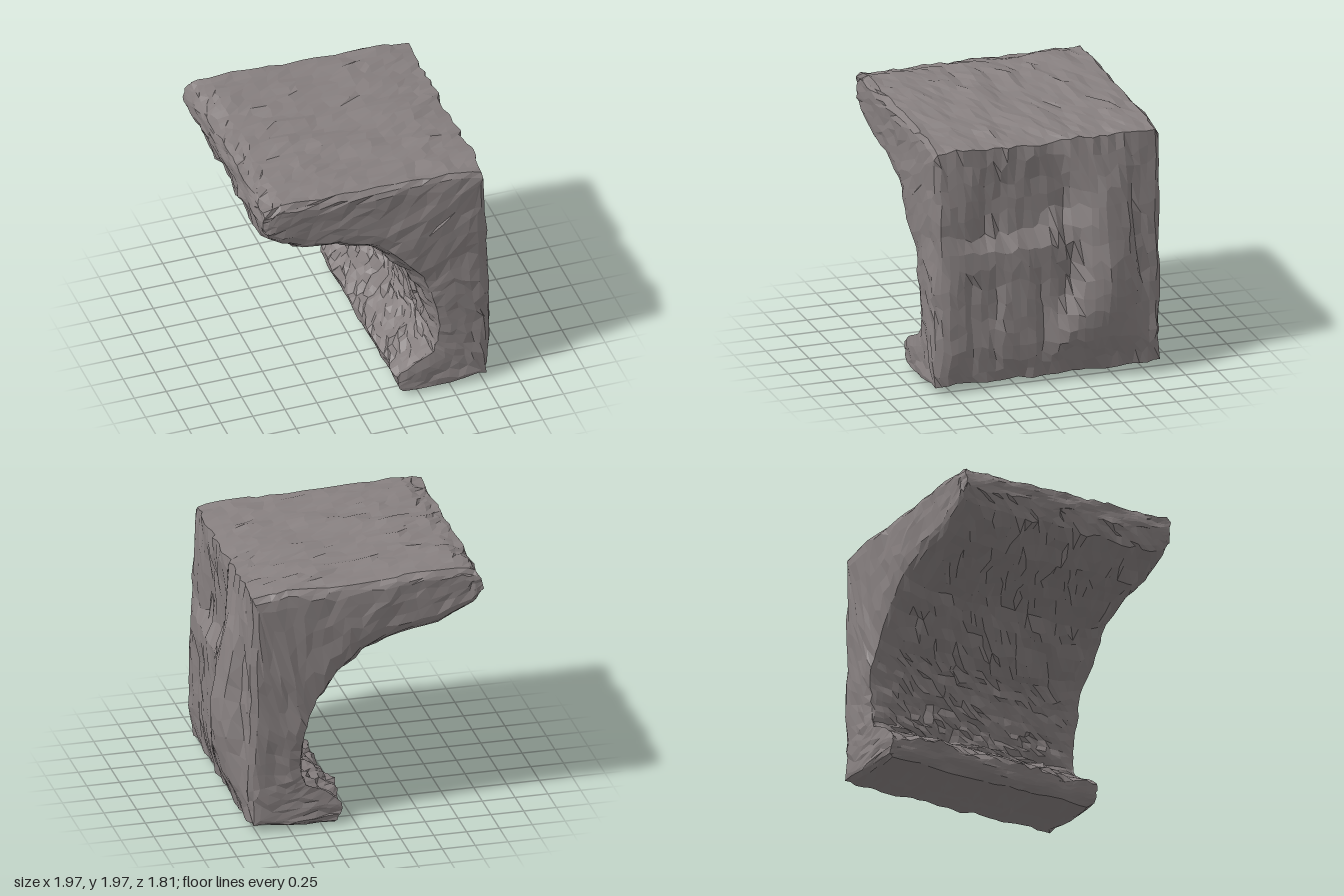
import * as THREE from 'three';

// Repeatable hash and smooth 3D value noise, both in -1..1
function hash(x, y, z) {
  let h = Math.imul(x, 374761393) ^ Math.imul(y, 668265263) ^ Math.imul(z, 873209373);
  h = Math.imul(h ^ (h >>> 13), 1274126177);
  h = Math.imul(h ^ (h >>> 15), 2246822519);
  return ((h ^ (h >>> 16)) >>> 0) / 2147483648 - 1;
}
function noise(x, y, z) {
  const a = [x, y, z].map(Math.floor), f = [x - a[0], y - a[1], z - a[2]];
  let sum = 0;
  for (let c = 0; c < 8; c++) {
    const d = [c & 1, (c >> 1) & 1, c >> 2];
    const w = d.reduce((p, v, n) => p * (v ? f[n] : 1 - f[n]), 1);
    sum += w * hash(a[0] + d[0], a[1] + d[1], a[2] + d[2]);
  }
  return sum;
}

// Linear lookup in [key, value] pairs with ascending keys
function lookup(table, k) {
  if (k <= table[0][0]) return table[0][1];
  for (let n = 1; n < table.length; n++) {
    const [k0, v0] = table[n - 1], [k1, v1] = table[n];
    if (k <= k1) return v0 + (v1 - v0) * (k - k0) / (k1 - k0);
  }
  return table[table.length - 1][1];
}
const step = (a, b, v) => THREE.MathUtils.smoothstep(v, a, b);
const band = (a, b, soft, v) => step(a - soft, a + soft, v) * (1 - step(b - soft, b + soft, v));

// Stations from overhang tip to foot tip: inner x, y, outer x, y
const STATIONS = [
  [-0.965, 1.78, -0.94, 1.93], [-0.91, 1.69, -0.8, 1.965], [-0.64, 1.57, -0.5, 1.965],
  [-0.35, 1.52, -0.2, 1.945], [-0.05, 1.42, 0.2, 1.935], [0.13, 1.24, 0.5, 1.925],
  [0.29, 1.03, 0.765, 1.895], [0.35, 0.88, 0.785, 1.5], [0.4, 0.72, 0.79, 1.1],
  [0.42, 0.56, 0.805, 0.7], [0.41, 0.42, 0.81, 0.35], [0.37, 0.34, 0.79, 0.075],
  [0.22, 0.27, 0.5, 0.03], [0.09, 0.17, 0.16, 0.03],
];
const PER = 3, LAST = STATIONS.length - 1, NS = LAST * PER, NT = 6, NZ = 30, HALF = 0.885;

// How far the rubble hangs below the end walls, by station
const HANG = [[0, 0], [1, 0.04], [2, 0.1], [5, 0.1], [7, 0.07], [9, 0.035], [10, 0.01], [13, 0.01]];

// Outline of the tall buttress on the cliff, by height
const BULGE = [[0.1, 0], [0.35, 0.1], [0.6, 0.16], [0.9, 0.2], [1.2, 0.15], [1.35, 0.12], [1.65, 0.05], [1.88, 0]];
const BULGE_LEFT = [[0.35, 0], [0.5, -0.08], [0.75, -0.21], [1.1, -0.27], [1.5, -0.24], [1.85, -0.1]];
const BULGE_RIGHT = [[0.3, -0.72], [1.2, -0.64], [1.75, -0.6]];

// Relief of the cliff face: buttress, sloping ledge, pillars and a recess
function cliffRelief(y, z) {
  const left = lookup(BULGE_LEFT, y), right = lookup(BULGE_RIGHT, y);
  const across = (z - right) / (left - right);
  let h = lookup(BULGE, y) * band(0, 1, 0.09, across) * (1 - 0.8 * Math.abs(across - 0.5));
  const rise = y - (1.15 - 0.1 * z);
  h = Math.max(h, 0.045 * band(-0.2, 0.08, 0.04, rise) * band(-0.62, 0.8, 0.06, z));
  if (rise < -0.15) {
    const low = step(0.08, 0.3, y);
    h = Math.max(h, low * 0.03 * band(0.62, 0.82, 0.03, z), low * 0.01 * band(0.42, 0.58, 0.03, z),
      low * 0.04 * band(0.1, 0.38, 0.03, z), low * 0.02 * band(-0.12, 0.05, 0.03, z));
  } else {
    h -= 0.035 * band(-0.18, 0.52, 0.03, z) * band(0.08, 0.52 - 0.5 * Math.max(0, -z), 0.04, rise);
    h += 0.01 * band(0.56, 0.78, 0.03, z) * band(0.1, 0.6, 0.05, rise);
  }
  return h;
}

// Block lattice bent along the stations, then roughened side by side
function rockGeometry() {
  const indexed = new THREE.BoxGeometry(NS, NT, NZ, NS, NT, NZ);
  const pos = indexed.attributes.position;
  for (let v = 0; v < pos.count; v++) {
    const i = Math.round(pos.getX(v) + NS / 2);
    const j = Math.round(pos.getY(v) + NT / 2);
    const k = Math.round(pos.getZ(v) + NZ / 2);
    const inner = j === 0, outer = j === NT, cap = k === 0 || k === NZ, tip = i === 0 || i === NS;

    // Uneven spacing breaks up the regular facets
    const s = i / PER + (tip || i % PER === 0 ? 0 : 0.1 * hash(i, j + 40, k));
    const t = j / NT + (inner || outer ? 0 : 0.055 * hash(i, j, k + 60));
    const n = Math.min(Math.floor(s), LAST - 1);
    const q = STATIONS[n].map((a, m) => a + (STATIONS[n + 1][m] - a) * (s - n));
    let x = q[0] + (q[2] - q[0]) * t, y = q[1] + (q[3] - q[1]) * t;
    let z = cap ? Math.sign(k - 1) * HALF : ((k - 1) / (NZ - 2) * 2 - 1) * (HALF - 0.045);
    if (!cap) z += 0.014 * hash(i, j, k);

    const side = Math.hypot(q[2] - q[0], q[3] - q[1]);
    const ux = (q[2] - q[0]) / side, uy = (q[3] - q[1]) / side;
    const onCliff = outer && s > 6 && s < 11;
    if (onCliff) {
      y += 0.025 * hash(i, k, 91);
      x += cap ? 0 : cliffRelief(y, z);
      x += 0.018 * noise(y * 5, z * 8, 3.3) + 0.006 * hash(i, k, 44);
    } else if (outer) {
      // Long shallow ripples on the top and base
      const rough = s <= 6 ? 1 : 0.6;
      x += tip ? 0 : 0.02 * hash(i, k, 17);
      y += rough * (0.025 * noise(x * 4, z * 8, 7.7) + 0.009 * hash(i, k, 23));
    } else if (inner) {
      // Ragged underside hanging lowest along the middle
      const ramp = cap ? 0 : step(0, 0.22, HALF - Math.abs(z));
      const drop = ramp * lookup(HANG, s) + (0.3 + 0.7 * ramp) *
        (0.045 * noise(s * 1.4, z * 6, 1.5) + 0.02 * hash(i, k, 5));
      x -= ux * drop;
      y -= uy * drop;
    }

    // Rough end walls with worn edges
    if (cap) {
      const sign = Math.sign(k - 1);
      z += sign * (0.025 * noise(x * 5 + 8, y * 5, sign * 4.4) + 0.009 * hash(i, j, k));
      const worn = outer ? 0.035 : inner ? -0.02 : 0;
      if (onCliff) x -= worn;
      else if (i === PER * 11 && outer) x -= 0.02;
      else y -= (s > 11 && outer ? -0.6 : 1) * worn;
      if (inner || outer || tip) z -= sign * 0.012;
    }
    // Blunt the overhang tip and the foot
    if (i === 0) x += 0.022 * noise(t * 3, z * 8, 6.1) - 0.012 * Math.sin(t * Math.PI);
    if (i === NS) x += 0.02 * noise(t * 3, z * 8, 9.1) - 0.02 * Math.sin(t * Math.PI);
    pos.setXYZ(v, x, Math.max(y, 0), z);
  }
  indexed.clearGroups();
  indexed.deleteAttribute('uv');
  const geometry = indexed.toNonIndexed();
  geometry.computeVertexNormals();
  return geometry;
}

export function createModel() {
  const group = new THREE.Group();
  group.name = 'overhangingCliff';
  const stone = new THREE.MeshStandardMaterial({ color: 0x878080, flatShading: true });
  stone.name = 'warm grey stone';
  const rock = new THREE.Mesh(rockGeometry(), stone);
  rock.name = 'cliffRock';
  group.add(rock);

  // Settle the rock on the ground, centred
  const box = new THREE.Box3().setFromObject(rock);
  const mid = box.getCenter(new THREE.Vector3());
  rock.geometry.translate(-mid.x, -box.min.y, -mid.z);
  return group;
}
